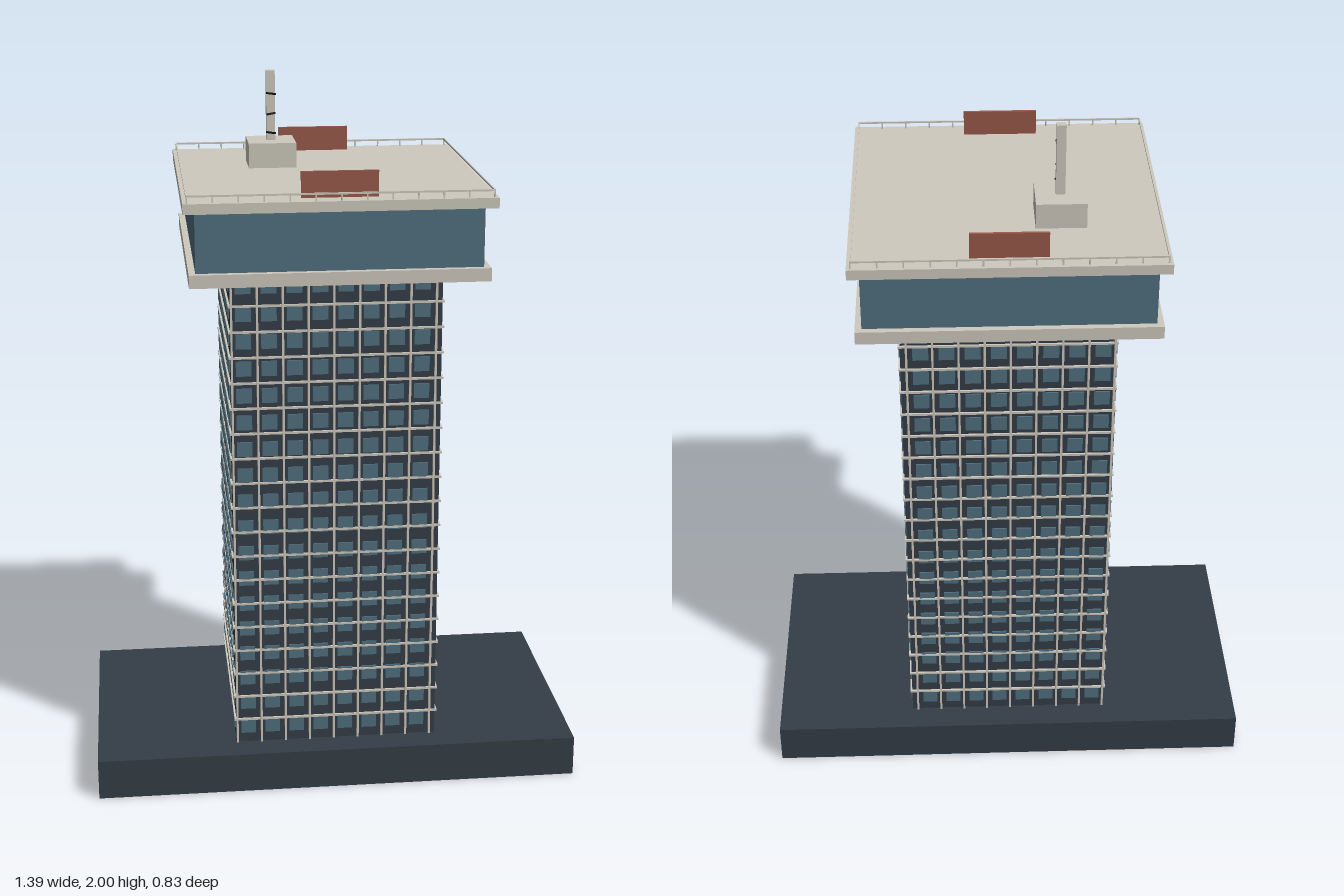
import * as THREE from 'three';
import { mergeGeometries } from 'three/addons/utils/BufferGeometryUtils.js';

const material = (color) => new THREE.MeshStandardMaterial({ color });
const cream = material(0xcfcabe);
const dark = material(0x343d46);
const glass = material(0x50707f);
const red = material(0x99594a);
const black = material(0x1c1c1c);

// Box geometry standing on height y0 and reaching y1
function block(w, y0, y1, d, x = 0, z = 0) {
  return new THREE.BoxGeometry(w, y1 - y0, d).translate(x, (y0 + y1) / 2, z);
}

export function createModel() {
  const model = new THREE.Group();
  const add = (name, mat, ...geometries) => {
    const mesh = new THREE.Mesh(mergeGeometries(geometries), mat);
    mesh.name = name;
    model.add(mesh);
  };

  const half = 0.291, base = 0.117, top = 1.505;
  add('podium', dark, block(1.386, 0, base, 0.746));
  add('tower', dark, block(half * 2, base, top, half * 2));

  // Window panes on all four faces
  const pitch = 0.0703, panes = [];
  for (let floor = 0; floor < 18; floor++) {
    const y = 0.167 + floor * 0.0773;
    for (let i = 0; i < 8; i++) {
      const u = -half + pitch * (i + 0.5);
      for (const side of [-1, 1]) {
        panes.push(block(0.043, y - 0.021, y + 0.021, 0.008, u, side * half));
        panes.push(block(0.008, y - 0.021, y + 0.021, 0.043, side * half, u));
      }
    }
  }
  add('windows', glass, ...panes);

  // Thin floor bands around the tower
  const bands = [];
  for (let k = 1; k <= 18; k++) {
    const y = base + 0.0727 * k;
    bands.push(block(0.593, y - 0.003, y + 0.003, 0.593));
  }
  add('floorBands', cream, ...bands);

  // Vertical mullions on front and back
  const mullions = [];
  for (let k = 0; k <= 8; k++) {
    for (const side of [-1, 1]) {
      mullions.push(block(0.006, base, top, 0.008, -half + 0.003 + pitch * k, side * 0.294));
    }
  }
  add('mullions', cream, ...mullions);

  // Overhanging crown
  add('crownFloor', cream, block(0.806, top, 1.541, 0.806));
  add('crownGlazing', glass, block(0.77, 1.541, 1.705, 0.77));
  const roof = 1.733;
  add('roofSlab', cream, block(0.832, 1.705, roof, 0.832));

  // Railing: rails on four sides, posts on front and back
  const rail = 0.405, railParts = [];
  for (const side of [-1, 1]) {
    railParts.push(block(rail * 2, 1.749, 1.754, 0.004, 0, side * rail));
    railParts.push(block(0.004, 1.749, 1.754, rail * 2, side * rail, 0));
    for (let i = 0; i <= 12; i++) {
      railParts.push(block(0.004, roof, 1.751, 0.004, -rail + (i * rail) / 6, side * rail));
    }
  }
  add('roofRailing', cream, ...railParts);

  // Roof panels near the front and back edges
  add('roofPanels', red, ...[-1, 1].map((s) => block(0.206, roof, 1.803, 0.008, 0, s * 0.36)));

  // Plant room with mast and crossed aerials
  const mx = -0.142, mz = -0.145;
  add('plantRoom', cream, block(0.135, roof, 1.803, 0.135, mx, mz));
  add('mast', cream, block(0.025, 1.803, 2, 0.022, mx, mz));
  const aerials = [1.826, 1.88, 1.937].map((y, i) =>
    new THREE.BoxGeometry(0.004, 0.005, 0.034)
      .rotateY((i % 2 ? -1 : 1) * Math.PI / 4)
      .translate(mx, y, mz + 0.023));
  add('aerials', black, ...aerials);

  return model;
}
